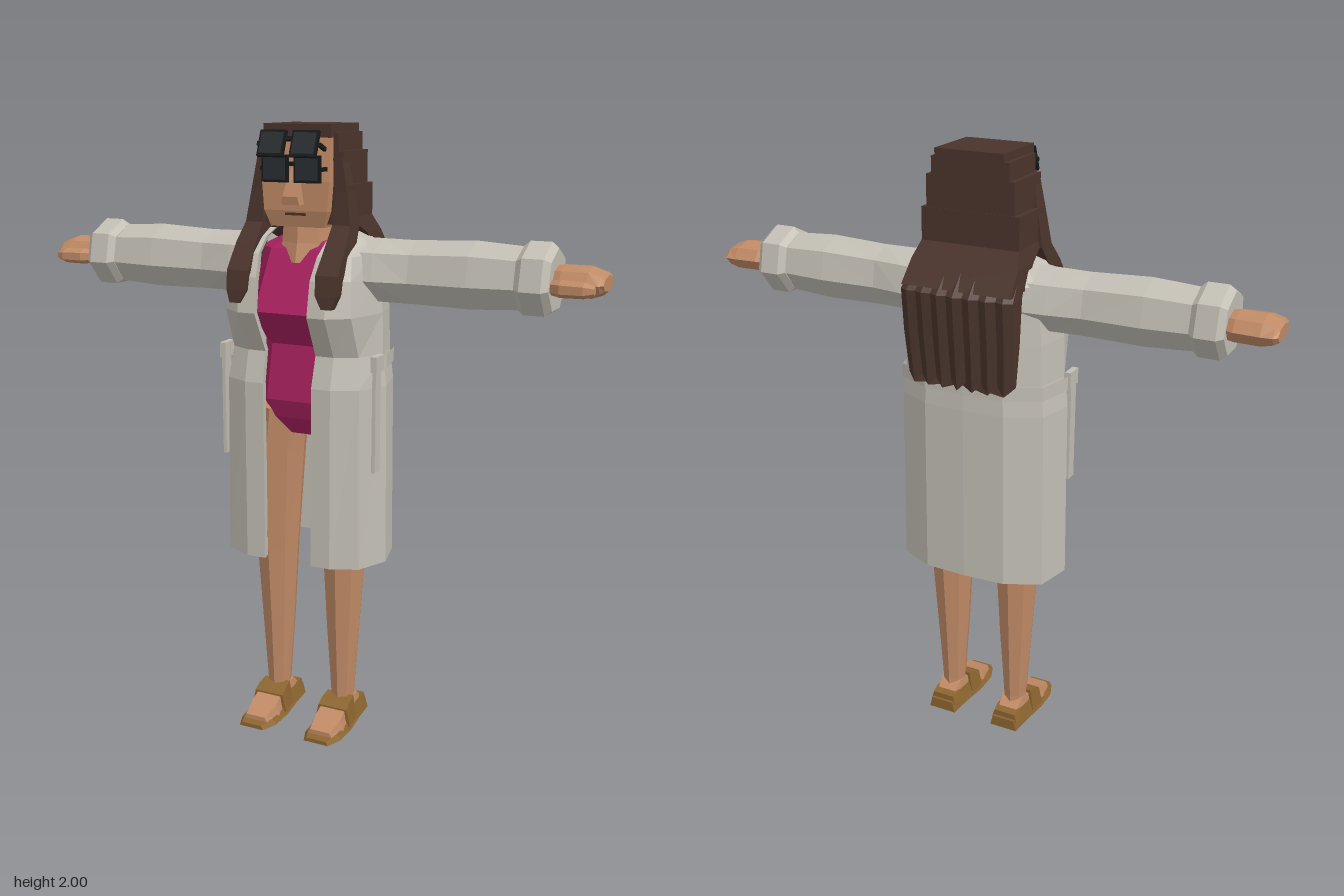
import * as THREE from 'three';

const mat = (name, color, side = THREE.FrontSide) => {
  const m = new THREE.MeshStandardMaterial({ color, side });
  m.name = name;
  return m;
};

export function createModel() {
  const root = new THREE.Group();
  root.name = 'womanInCoat';
  const skin = mat('skin', 0xc08a66);
  const cloth = mat('coatCloth', 0xc2beb4, THREE.DoubleSide);
  const suit = mat('swimsuit', 0xa8215f);
  const hair = mat('hair', 0x4a342c);
  const black = mat('frames', 0x16181a);
  const dark = mat('lenses', 0x2a2e31);
  const leather = mat('sandalLeather', 0x8c6530);

  const add = (name, geo, material, parent = root) => {
    const m = new THREE.Mesh(geo, material);
    m.name = name;
    parent.add(m);
    return m;
  };
  const box = (name, w, h, d, x, y, z, material, parent = root) => {
    const m = add(name, new THREE.BoxGeometry(w, h, d), material, parent);
    m.position.set(x, y, z);
    return m;
  };

  // Flat-shaded skin over a row of cross-sections; closed lofts are capped and turned outward
  const loft = (rings, closed = true) => {
    const tris = [];
    const n = rings[0].length;
    for (let i = 0; i < rings.length - 1; i++) {
      for (let j = 0; j < (closed ? n : n - 1); j++) {
        const k = (j + 1) % n;
        const a = rings[i][j], b = rings[i][k], c = rings[i + 1][k], d = rings[i + 1][j];
        tris.push([a, b, c], [a, c, d]);
      }
    }
    if (closed) {
      [rings[0], rings[rings.length - 1]].forEach((r, end) => {
        const c = [0, 1, 2].map(q => r.reduce((s, p) => s + p[q], 0) / n);
        r.forEach((p, j) => {
          const q = r[(j + 1) % n];
          tris.push(end ? [c, p, q] : [c, q, p]);
        });
      });
      const vol = tris.reduce((s, [a, b, c]) => s
        + a[0] * (b[1] * c[2] - b[2] * c[1])
        + a[1] * (b[2] * c[0] - b[0] * c[2])
        + a[2] * (b[0] * c[1] - b[1] * c[0]), 0);
      if (vol < 0) tris.forEach(t => t.reverse());
    }
    const g = new THREE.BufferGeometry();
    g.setAttribute('position', new THREE.Float32BufferAttribute(tris.flat(2), 3));
    g.computeVertexNormals();
    return g;
  };
  // Polygon ring across the x axis (first corner on top) and across the y axis
  const ringX = (n, x, cy, ry, cz, rz) => Array.from({ length: n }, (_, i) => {
    const a = i / n * Math.PI * 2;
    return [x, cy + ry * Math.cos(a), cz + rz * Math.sin(a)];
  });
  const ringY = (n, y, cx, rx, cz, rz) => Array.from({ length: n }, (_, i) => {
    const a = i / n * Math.PI * 2;
    return [cx + rx * Math.sin(a), y, cz + rz * Math.cos(a)];
  });
  const rectY = (y, x0, x1, z0, z1) => [[x0, y, z0], [x1, y, z0], [x1, y, z1], [x0, y, z1]];
  const mirrorHalf = half => [...half, ...half.slice().reverse().map(([x, y, z]) => [-x, y, z])];

  // Torso: height, half width, front, back
  const torso = [
    [1.02, 0.06, 0.07, 0.05], [1.08, 0.125, 0.11, 0.1], [1.14, 0.16, 0.13, 0.12],
    [1.32, 0.14, 0.11, 0.1], [1.43, 0.18, 0.185, 0.11], [1.62, 0.16, 0.09, 0.1], [1.66, 0.08, 0.05, 0.06],
  ].map(([y, w, f, b]) => mirrorHalf([[w * 0.6, y, f], [w, y, f * 0.4], [w, y, -b * 0.5], [w * 0.6, y, -b]]));
  add('swimsuitBody', loft(torso), suit);

  // Bare chest laid over the sloping front of the suit
  const chestZ = y => 0.185 + (y - 1.43) * (0.09 - 0.185) / 0.19 + 0.005;
  const v = (x, y) => [x, y, chestZ(y)];
  add('neckline', loft([
    [[-0.002, 1.455], [-0.09, 1.565], [-0.1, 1.625]].map(p => v(...p)),
    [[0.002, 1.455], [0.09, 1.565], [0.1, 1.625]].map(p => v(...p)),
  ], false), skin);
  add('neck', loft([ringY(8, 1.58, 0, 0.1, 0.03, 0.085), ringY(8, 1.64, 0, 0.09, 0.02, 0.08),
    ringY(8, 1.74, 0, 0.085, 0.01, 0.08)]), skin);

  // Head
  add('face', loft([rectY(1.69, -0.09, 0.09, -0.05, 0.1), rectY(1.74, -0.108, 0.108, -0.05, 0.112),
    rectY(1.83, -0.115, 0.115, -0.05, 0.112), rectY(1.96, -0.113, 0.113, -0.05, 0.095)]), skin);
  add('nose', loft([rectY(1.76, -0.03, 0.03, 0.1, 0.145), rectY(1.785, -0.026, 0.026, 0.1, 0.15),
    rectY(1.87, -0.012, 0.012, 0.1, 0.115)]), skin);
  box('mouth', 0.07, 0.008, 0.005, 0, 1.73, 0.11, hair);

  // Stepped hair over the skull
  [[1.96, 2.0, 0.115, -0.105, 0.1], [1.91, 1.975, 0.13, -0.1, 0.08], [1.81, 1.92, 0.148, -0.1, 0.08],
    [1.7, 1.82, 0.165, -0.102, 0.08]].forEach(([y0, y1, w, b, f]) =>
    box('hairTier', w * 2, y1 - y0, f - b, 0, (y0 + y1) / 2, (b + f) / 2, hair));
  add('hairNape', loft([rectY(1.72, -0.165, 0.165, -0.1, 0.07), rectY(1.67, -0.18, 0.18, -0.14, -0.03),
    rectY(1.6, -0.185, 0.185, -0.2, -0.1)]), hair);

  // Long ridged hair down the back with a jagged hem
  const backRing = (y, w, zb, zf, jag) => {
    const back = Array.from({ length: 15 }, (_, i) => {
      const x = -w + i * w / 7;
      return [x, y + (i % 2 ? -jag : jag), zb + (i % 2 ? -0.008 : 0.004) + 0.015 * (x / w) ** 2];
    });
    return [...back, ...back.slice().reverse().map(([x, yy]) => [x, yy, zf])];
  };
  add('backHair', loft([backRing(1.68, 0.175, -0.12, -0.06, 0), backRing(1.585, 0.19, -0.212, -0.13, 0),
    backRing(1.45, 0.19, -0.2, -0.142, 0), backRing(1.295, 0.183, -0.185, -0.15, 0.013)]), hair);

  // Two pairs of glasses, one worn and one pushed up
  const glasses = (name, y, z, tilt, armLength) => {
    const g = new THREE.Group();
    g.name = name;
    g.position.set(0, y, z);
    g.rotation.x = tilt;
    for (const s of [-1, 1]) {
      box('frame', 0.088, 0.082, 0.012, s * 0.055, 0, 0, black, g);
      box('lens', 0.074, 0.066, 0.006, s * 0.055, 0, 0.006, dark, g);
      box('templeArm', 0.01, 0.012, armLength, s * 0.102, 0.0, -armLength / 2, black, g);
    }
    box('bridge', 0.04, 0.012, 0.012, 0, 0.015, 0, black, g);
    root.add(g);
  };
  glasses('wornGlasses', 1.868, 0.138, 0, 0.07);
  glasses('raisedGlasses', 1.943, 0.157, -0.38, 0.045);

  // Open coat: height, half width, front, back, half opening
  const coat = [
    [0.61, 0.285, 0.175, 0.155, 0.083], [1.2, 0.278, 0.175, 0.155, 0.085], [1.3, 0.265, 0.15, 0.15, 0.088],
    [1.43, 0.262, 0.218, 0.145, 0.09], [1.54, 0.252, 0.2, 0.142, 0.092], [1.61, 0.24, 0.165, 0.138, 0.1],
    [1.655, 0.2, 0.105, 0.115, 0.105], [1.68, 0.15, 0.05, 0.085, 0.1],
  ].map(([y, w, f, b, o]) => mirrorHalf([
    [o + 0.006, y, f - 0.03], [o, y, f], [Math.min(0.15, w * 0.8), y, f], [w * 0.83, y, f * 0.78], [w, y, 0.03],
    [w * 0.9, y, -b * 0.6], [w * 0.5, y, -b * 0.96], [0, y, -b],
  ]));
  add('coatBody', loft(coat, false), cloth);
  const belt = [1.255, 1.3].map(y => mirrorHalf([[0.25, y, 0.09], [0.277, y, 0.03], [0.25, y, -0.095],
    [0.137, y, -0.153], [0, y, -0.159]]));
  add('belt', loft(belt, false), cloth);

  for (const s of [-1, 1]) {
    const side = s > 0 ? 'left' : 'right';
    const sleeve = rows => rows.map(([x, cy, ry, rz]) => ringX(7, s * x, cy, ry, 0, rz));
    // Sleeve and turned cuff
    add(side + 'Sleeve', loft(sleeve([[0.15, 1.56, 0.1, 0.12], [0.25, 1.558, 0.1, 0.108], [0.36, 1.557, 0.1, 0.088],
      [0.55, 1.56, 0.106, 0.097], [0.71, 1.56, 0.096, 0.088]])), cloth);
    add(side + 'Cuff', loft(sleeve([[0.695, 1.562, 0.095, 0.095], [0.715, 1.562, 0.112, 0.112],
      [0.78, 1.562, 0.112, 0.112], [0.8, 1.562, 0.095, 0.095]])), cloth);

    // Hand and thumb
    add(side + 'Hand', loft([[0.76, 0.04, 0.05], [0.82, 0.048, 0.075], [0.9, 0.048, 0.08], [0.935, 0.036, 0.078],
      [0.948, 0.024, 0.065]].map(([x, ry, rz]) => ringX(8, s * x, 1.562, ry, -0.012, rz))), skin);
    add(side + 'Thumb', loft([[0.78, 0.05, 0.02], [0.83, 0.075, 0.026], [0.9, 0.08, 0.024], [0.93, 0.076, 0.014]]
      .map(([x, cz, r]) => ringX(6, s * x, 1.55, r, cz, r))), skin);

    // Front lock of hair lying over the chest
    add(side + 'FrontLock', loft([
      [1.9, 0.115, 0.145, 0.04, 0.085], [1.8, 0.125, 0.165, 0.03, 0.088], [1.7, 0.12, 0.18, 0.03, 0.1],
      [1.64, 0.12, 0.188, 0.07, 0.15], [1.56, 0.115, 0.19, 0.14, 0.208], [1.5, 0.118, 0.188, 0.17, 0.218],
      [1.46, 0.14, 0.175, 0.19, 0.222],
    ].map(([y, a, b, z0, z1]) => rectY(y, s * a, s * b, z0, z1))), hair);

    // Hanging belt tie
    box(side + 'BeltTie', 0.012, 0.37, 0.04, s * 0.268, 1.115, 0.085, cloth);
    box(side + 'BeltKnot', 0.02, 0.05, 0.06, s * 0.268, 1.28, 0.08, cloth);

    // Leg
    add(side + 'Leg', loft([[0.03, 0.122, 0.036, 0.045], [0.1, 0.122, 0.04, 0.046], [0.35, 0.122, 0.058, 0.062],
      [0.6, 0.124, 0.073, 0.078], [0.95, 0.117, 0.09, 0.1], [1.1, 0.1, 0.09, 0.105]]
      .map(([y, cx, rx, rz]) => ringY(8, y, s * cx, rx, 0, rz))), skin);

    // Foot, sole and straps, as cross-sections from heel to toe
    const footLoft = rows => loft(rows.map(([z, w, y0, y1]) => {
      const c = s * 0.122;
      return [[c - w, y0, z], [c + w, y0, z], [c + w * 0.8, y1, z], [c - w * 0.8, y1, z]];
    }));
    add(side + 'Foot', footLoft([[-0.075, 0.04, 0.03, 0.05], [-0.03, 0.048, 0.03, 0.09], [0.05, 0.052, 0.02, 0.082],
      [0.12, 0.058, 0.012, 0.05], [0.185, 0.045, 0.012, 0.03]]), skin);
    add(side + 'Sole', footLoft([[-0.1, 0.05, 0, 0.038], [-0.02, 0.056, 0, 0.036], [0.08, 0.068, 0, 0.024],
      [0.16, 0.066, 0, 0.016], [0.215, 0.045, 0, 0.013]]), leather);
    add(side + 'InstepStrap', footLoft([[0.02, 0.06, 0.02, 0.098], [0.06, 0.064, 0.015, 0.088],
      [0.085, 0.066, 0.012, 0.072]]), leather);
    add(side + 'HeelStrap', footLoft([[-0.09, 0.048, 0.025, 0.058], [-0.06, 0.054, 0.025, 0.062],
      [0.03, 0.058, 0.02, 0.06]]), leather);
  }
  return root;
}
